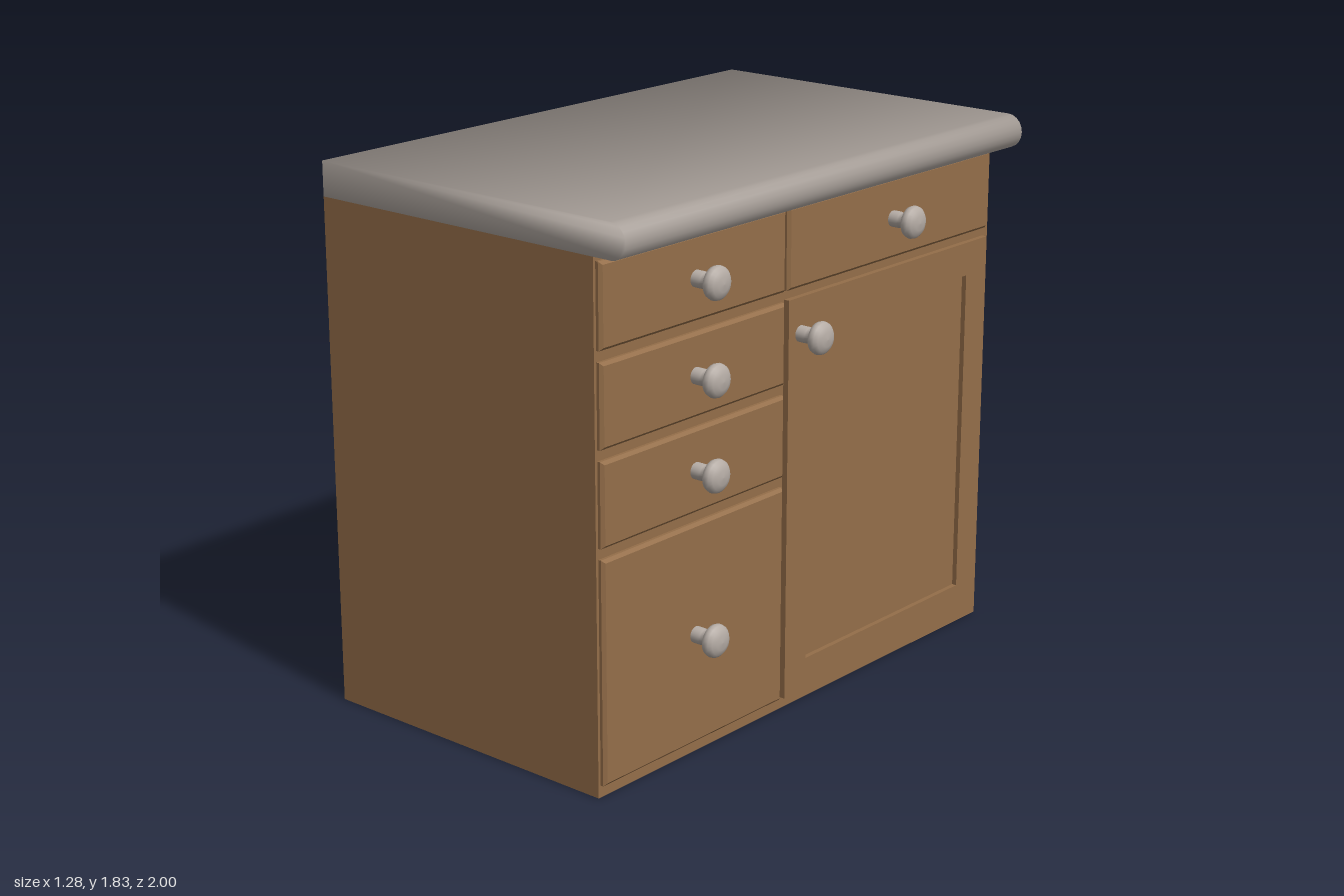
import * as THREE from 'three';

const wood = new THREE.MeshStandardMaterial({ color: 0x946e49 });
wood.name = 'wood';
const stone = new THREE.MeshStandardMaterial({ color: 0xb5aca5 });
stone.name = 'greyStone';

const FACE = 0.505; // x of the cabinet face that carries the fronts
const FRONT = 0.525; // x of the outer surface of drawers and door

function rectPoints(z0, z1, y0, y1) {
  // drawn in (-z, y) so that a quarter turn about y puts it on the +x face
  return [[-z1, y0], [-z0, y0], [-z0, y1], [-z1, y1]].map(([a, b]) => new THREE.Vector2(a, b));
}

function addMesh(parent, name, geometry, material) {
  const mesh = new THREE.Mesh(geometry, material);
  mesh.name = name;
  parent.add(mesh);
  return mesh;
}

// Drawer front with a small chamfer around its outer edge
function drawerFront(z0, z1, y0, y1) {
  const b = 0.01;
  const shape = new THREE.Shape(rectPoints(z0 + b, z1 - b, y0 + b, y1 - b));
  const g = new THREE.ExtrudeGeometry(shape, {
    depth: 0.02, bevelEnabled: true, bevelSize: b, bevelThickness: b, bevelSegments: 1,
  });
  return g.rotateY(Math.PI / 2).translate(FRONT - 0.03, 0, 0);
}

// Door frame with a rectangular opening for the recessed panel
function doorFrame() {
  const shape = new THREE.Shape(rectPoints(-0.97, 0.115, 0.04, 1.4));
  shape.holes.push(new THREE.Path(rectPoints(-0.855, 0.005, 0.15, 1.285).reverse()));
  const g = new THREE.ExtrudeGeometry(shape, { depth: FRONT - FACE, bevelEnabled: false });
  return g.rotateY(Math.PI / 2).translate(FACE, 0, 0);
}

// Worktop with a rounded nose on +x and softly blended normals over its ends
function worktopGeometry() {
  const r = 0.0575, cx = 0.575, cy = 1.7725;
  const pts = [new THREE.Vector2(-0.64, cy + r), new THREE.Vector2(-0.64, cy - r)];
  for (let i = 0; i <= 10; i++) {
    const a = -Math.PI / 2 + (Math.PI * i) / 10;
    pts.push(new THREE.Vector2(cx + r * Math.cos(a), cy + r * Math.sin(a)));
  }
  const g = new THREE.ExtrudeGeometry(new THREE.Shape(pts), { depth: 2, bevelEnabled: false });
  g.translate(0, 0, -1);
  const p = g.attributes.position, n = new THREE.Vector3();
  for (let i = 0; i < p.count; i++) {
    const x = p.getX(i), dy = (p.getY(i) - cy) / r;
    n.set(x < 0 ? -1 : (x - cx) / r, dy, Math.sign(p.getZ(i))).normalize();
    g.attributes.normal.setXYZ(i, n.x, n.y, n.z);
  }
  return g;
}

// Round knob: stem and lens-shaped head, turned to point along +x
function knobGeometry() {
  const profile = [
    [0.027, -0.005], [0.027, 0.03], [0.023, 0.034], [0.023, 0.058], [0.04, 0.06], [0.051, 0.068],
    [0.055, 0.08], [0.052, 0.092], [0.042, 0.102], [0.024, 0.109], [0, 0.111],
  ].map(([x, y]) => new THREE.Vector2(x, y));
  return new THREE.LatheGeometry(profile, 24).rotateZ(-Math.PI / 2);
}

export function createModel() {
  const model = new THREE.Group();
  model.name = 'kitchenCabinet';

  // Carcass
  const body = new THREE.BoxGeometry(FACE + 0.64, 1.715, 2);
  body.translate((FACE - 0.64) / 2, 1.715 / 2, 0);
  addMesh(model, 'cabinetBody', body, wood);
  addMesh(model, 'worktop', worktopGeometry(), stone);

  // Drawer fronts: z range, y range
  const drawers = [
    [0.13, 0.99, 1.43, 1.7],
    [0.13, 0.99, 1.125, 1.395],
    [0.13, 0.99, 0.815, 1.09],
    [0.13, 0.99, 0.04, 0.78],
    [-0.97, 0.118, 1.43, 1.7],
  ];
  for (const d of drawers) addMesh(model, 'drawerFront', drawerFront(...d), wood);

  // Door
  const door = new THREE.Group();
  door.name = 'door';
  model.add(door);
  addMesh(door, 'doorFrame', doorFrame(), wood);
  const panel = new THREE.BoxGeometry(0.006, 1.135, 0.86);
  panel.translate(FACE, 0.7175, -0.425);
  addMesh(door, 'doorPanel', panel, wood);

  // Knobs: y, z
  const knob = knobGeometry();
  const spots = [
    [1.565, 0.565], [1.26, 0.565], [0.955, 0.565], [0.412, 0.565], [1.565, -0.425], [1.28, 0.055],
  ];
  for (const [y, z] of spots) addMesh(model, 'knob', knob, stone).position.set(FRONT, y, z);

  return model;
}
